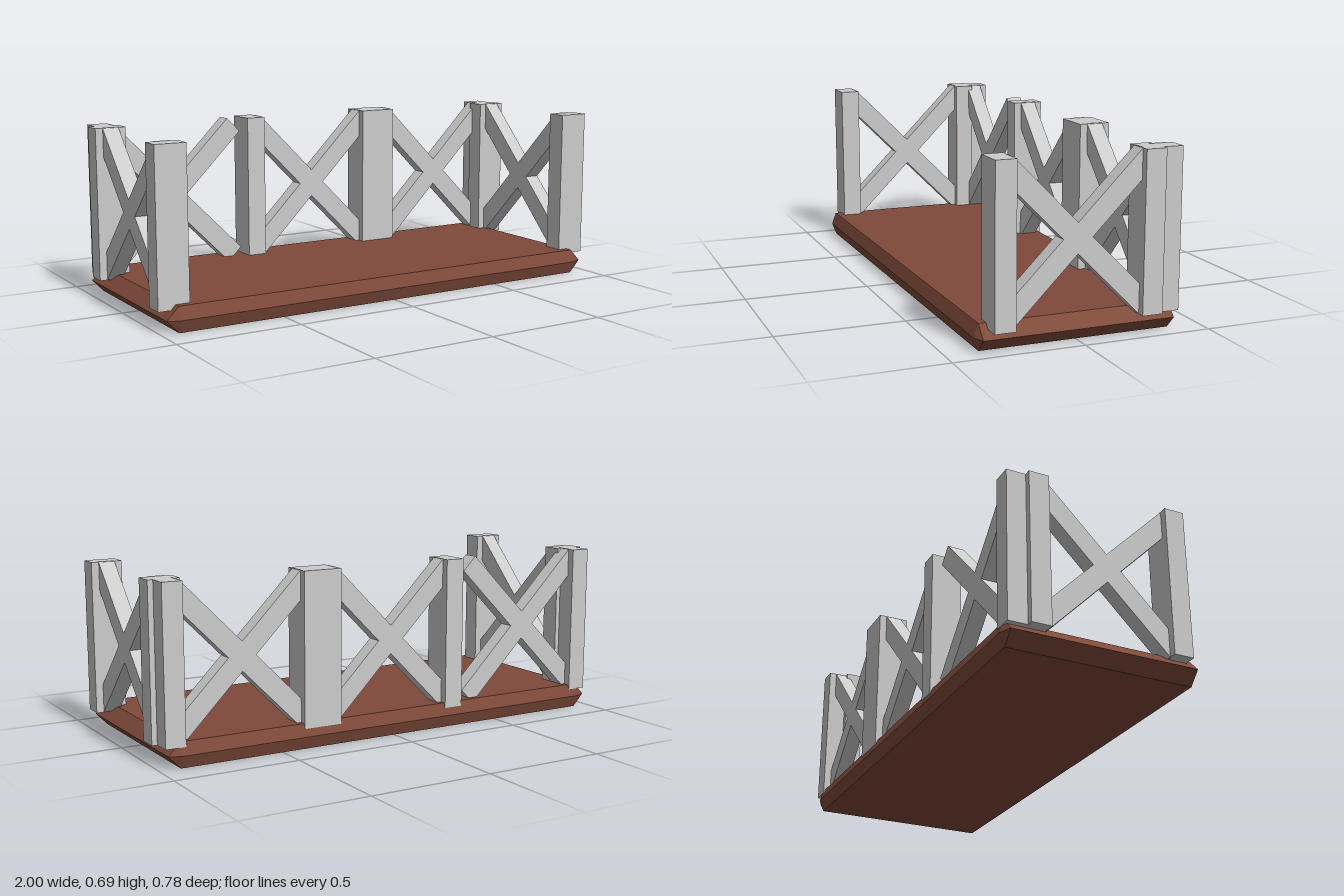
import * as THREE from 'three';
import { ConvexGeometry } from 'three/addons/geometries/ConvexGeometry.js';

const grey = new THREE.MeshStandardMaterial({ color: 0xcccccc, flatShading: true });
const brown = new THREE.MeshStandardMaterial({ color: 0x7f4a3a, flatShading: true });

const POST_BOTTOM = 0.08, POST_TOP = 0.685;
const POST_WIDTH = 0.08, POST_DEPTH = 0.125, POST_OFFSET = 0.285;
const BRACE_LENGTH = 0.78, BRACE_WIDTH = 0.08, BRACE_DEPTH = 0.065;
const MIDDLE = (POST_BOTTOM + POST_TOP) / 2;

function addBox(parent, name, w, h, d, x, y, tilt = 0) {
  const mesh = new THREE.Mesh(new THREE.BoxGeometry(w, h, d), grey);
  mesh.name = name;
  mesh.position.set(x, y, 0);
  mesh.rotation.z = tilt;
  parent.add(mesh);
}

// Fence panel: upright posts on the given sides, with two crossed braces
function fencePanel(name, postSides = [-1, 1]) {
  const panel = new THREE.Group();
  panel.name = name;
  for (const side of postSides) {
    addBox(panel, 'post', POST_WIDTH, POST_TOP - POST_BOTTOM, POST_DEPTH, side * POST_OFFSET, MIDDLE);
  }
  for (const side of [-1, 1]) {
    addBox(panel, 'crossBrace', BRACE_LENGTH, BRACE_WIDTH, BRACE_DEPTH, 0, MIDDLE, side * Math.PI / 4);
  }
  return panel;
}

// Floor slab whose edges slope out to a ridge at half height
function floorSlab() {
  const points = [];
  for (const sx of [-1, 1]) for (const sz of [-1, 1]) {
    for (const [x, y, z] of [[0.925, 0, 0.373], [0.925, 0.1, 0.373], [0.973, 0.05, 0.373], [0.925, 0.05, 0.392]]) {
      points.push(new THREE.Vector3(sx * x, y, sz * z));
    }
  }
  const slab = new THREE.Mesh(new ConvexGeometry(points), brown);
  slab.name = 'floor';
  slab.position.x = -0.007;
  return slab;
}

export function createModel() {
  const model = new THREE.Group();
  model.name = 'fencedPlatform';
  model.add(floorSlab());

  // Back row: the first panel has no inner post, leaving its braces free
  [-0.649, 0.004, 0.654].forEach((x, i) => {
    const panel = fencePanel('backFence', i === 0 ? [-1] : [-1, 1]);
    panel.position.set(x, 0, -0.32);
    model.add(panel);
  });

  // Side panels
  for (const side of [-1, 1]) {
    const panel = fencePanel(side > 0 ? 'leftFence' : 'rightFence');
    panel.position.set(side * 0.9375, 0, 0.02);
    panel.rotation.y = Math.PI / 2;
    model.add(panel);
  }
  return model;
}
